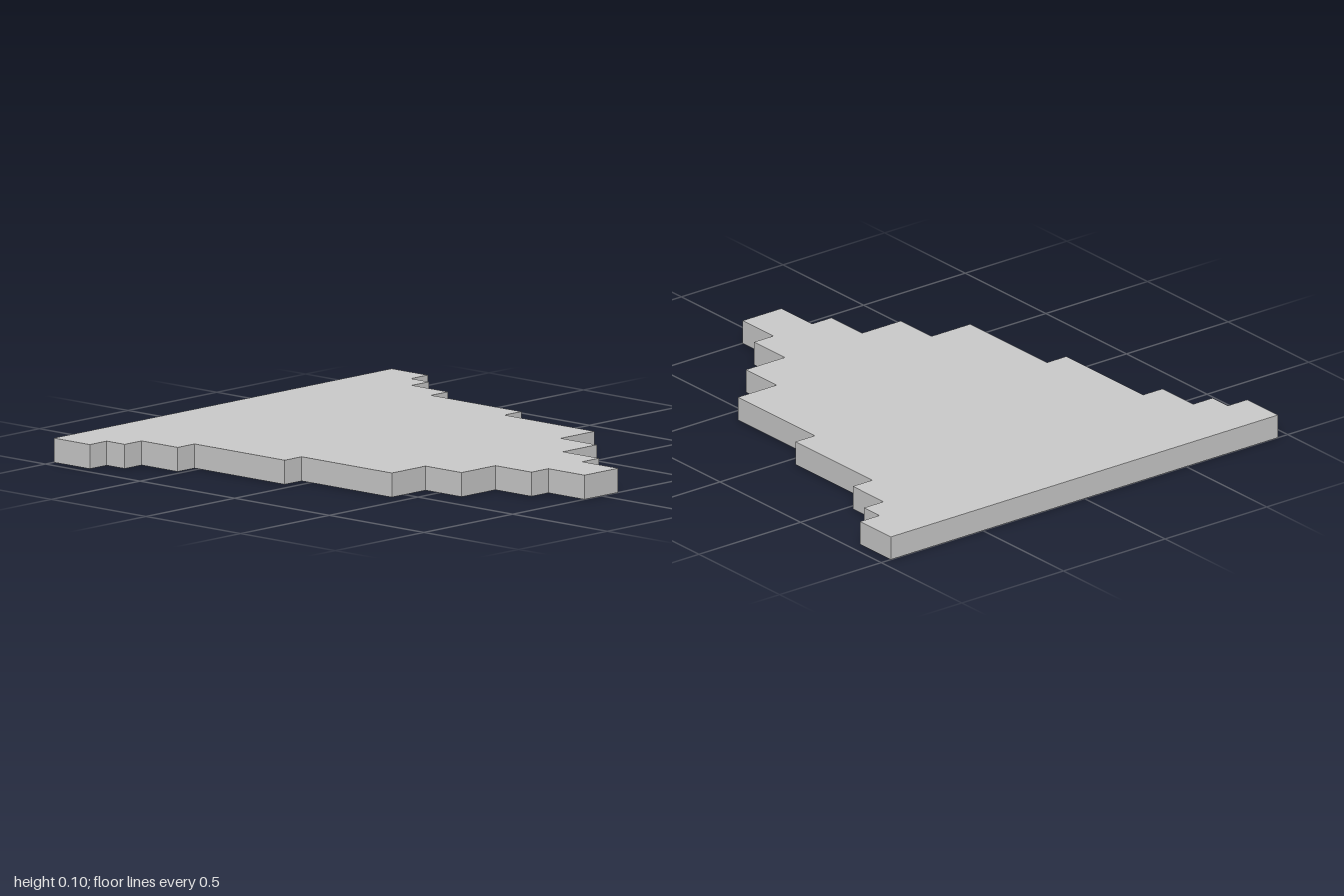
import * as THREE from 'three';

// The slab lies on a square module: 21 modules long, one module thick.
const UNIT = 2 / 21;

// Rows from back to front: [half width, length], in modules.
const ROWS = [[10, 2], [9, 1], [8, 2], [7, 5], [6, 5], [4, 2], [2, 2], [1, 2]];

export function createModel() {
  const group = new THREE.Group();
  group.name = 'steppedSlab';

  // Stepped right edge, then its mirror image back up the other side.
  const edge = [];
  let y = 1;
  for (const [halfWidth, length] of ROWS) {
    const x = halfWidth * UNIT;
    edge.push(new THREE.Vector2(x, y));
    y -= length * UNIT;
    edge.push(new THREE.Vector2(x, y));
  }
  const mirrored = edge.map((p) => new THREE.Vector2(-p.x, p.y)).reverse();

  // Extrude the outline and lay it flat, with the narrow end at +z.
  const geometry = new THREE.ExtrudeGeometry(new THREE.Shape([...edge, ...mirrored]), {
    depth: UNIT,
    bevelEnabled: false,
  });
  geometry.rotateX(-Math.PI / 2);

  const slab = new THREE.Mesh(
    geometry,
    new THREE.MeshStandardMaterial({ color: 0xcccccc, flatShading: true })
  );
  slab.name = 'slab';
  group.add(slab);
  return group;
}
